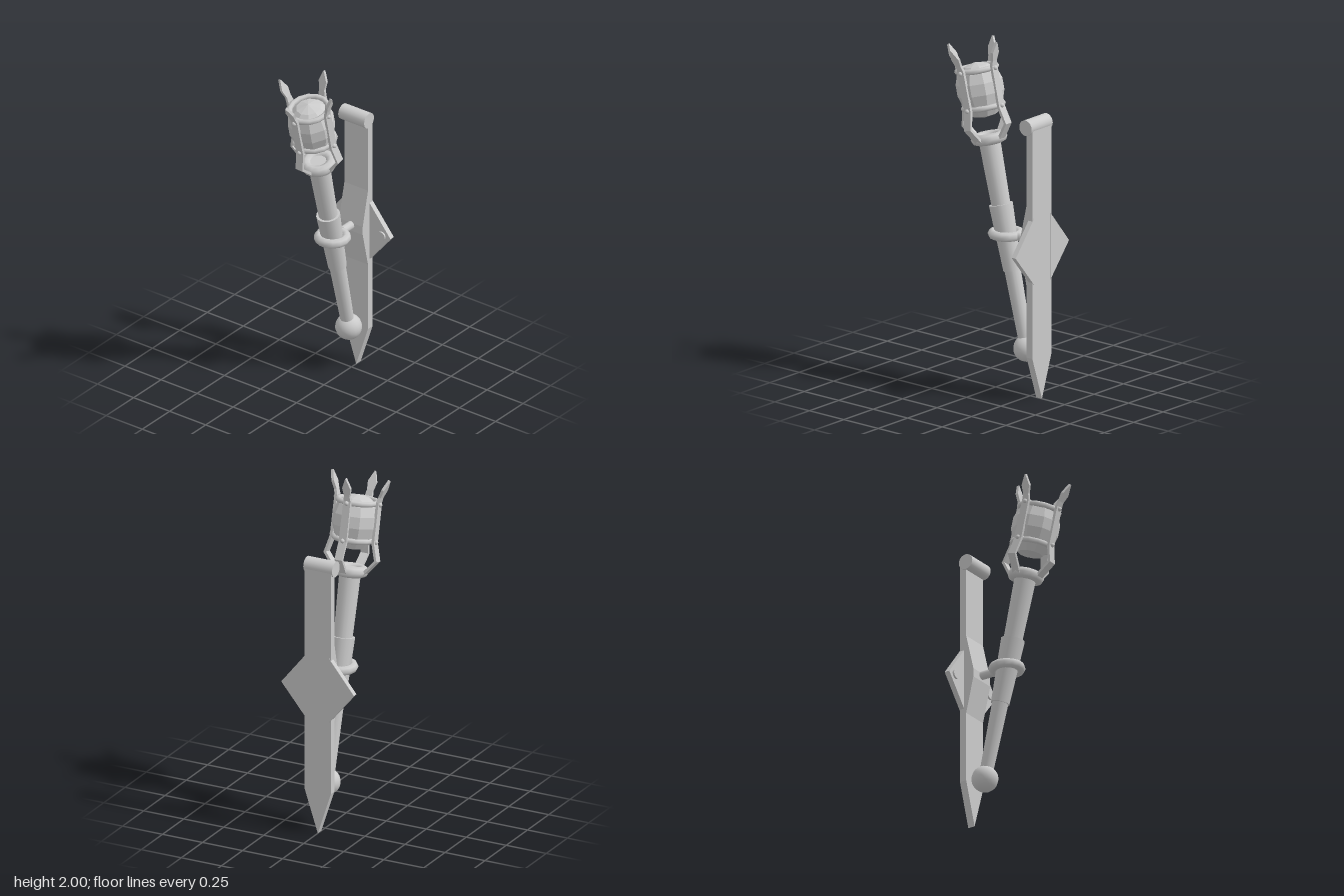
import * as THREE from 'three';

const smooth = new THREE.MeshStandardMaterial({ color: 0xcccccc });
const faceted = new THREE.MeshStandardMaterial({ color: 0xcccccc, flatShading: true });

function add(parent, name, geometry, x = 0, y = 0, z = 0, material = smooth) {
  const mesh = new THREE.Mesh(geometry, material);
  mesh.name = name;
  mesh.position.set(x, y, z);
  parent.add(mesh);
  return mesh;
}

// Flat ring lying in the horizontal plane
const ring = (radius, tube) => new THREE.TorusGeometry(radius, tube, 8, 14).rotateX(Math.PI / 2);

// Extruded outline between two depths
function slab(points, z0, z1) {
  const shape = new THREE.Shape(points.map(([x, y]) => new THREE.Vector2(x, y)));
  return new THREE.ExtrudeGeometry(shape, { depth: z1 - z0, bevelEnabled: false }).translate(0, 0, z0);
}

// Rectangular bar swept through sections [radial distance, height, half width]
function bar(sections, thickness) {
  const pos = [], index = [], n = sections.length, h = thickness / 2;
  sections.forEach(([r, y, w], i) => {
    const a = sections[Math.max(i - 1, 0)], b = sections[Math.min(i + 1, n - 1)];
    const length = Math.hypot(b[0] - a[0], b[1] - a[1]);
    const oz = (b[1] - a[1]) / length * h, oy = -(b[0] - a[0]) / length * h;
    pos.push(-w, y + oy, r + oz, w, y + oy, r + oz, w, y - oy, r - oz, -w, y - oy, r - oz);
    if (i === n - 1) return;
    for (let k = 0; k < 4; k++) {
      const p = i * 4 + k, q = i * 4 + (k + 1) % 4;
      index.push(p, q, q + 4, p, q + 4, p + 4);
    }
  });
  const e = (n - 1) * 4;
  index.push(0, 2, 1, 0, 3, 2, e, e + 1, e + 2, e, e + 2, e + 3);
  const geometry = new THREE.BufferGeometry();
  geometry.setAttribute('position', new THREE.Float32BufferAttribute(pos, 3));
  geometry.setIndex(index);
  const flat = geometry.toNonIndexed();
  flat.computeVertexNormals();
  return flat;
}

function createBracket() {
  const bracket = new THREE.Group();
  bracket.name = 'wallBracket';

  // Long pointed plate with a rolled top
  add(bracket, 'backPlate', slab(
    [[0, 0], [0.082, 0.25], [0.082, 1.58], [-0.082, 1.58], [-0.082, 0.25]], -0.335, -0.293));
  add(bracket, 'topScroll',
    new THREE.CylinderGeometry(0.045, 0.045, 0.18, 20).rotateZ(Math.PI / 2), 0, 1.578, -0.292);

  // Raised boss in the middle of the plate
  const boss = slab([[-0.3, 0.66], [-0.293, 0.66], [-0.245, 0.87], [-0.245, 0.92],
    [-0.293, 1.13], [-0.3, 1.13]], -0.082, 0.082);
  add(bracket, 'boss', boss.rotateY(-Math.PI / 2));

  // Side wings with bolts
  for (const side of [1, -1]) {
    const outline = [[side * 0.07, 0.675], [side * 0.227, 0.865], [side * 0.07, 1.06]];
    add(bracket, 'sideWing', slab(outline, -0.338, -0.307));
    add(bracket, 'bolt',
      new THREE.CylinderGeometry(0.027, 0.027, 0.02, 14).rotateX(Math.PI / 2), side * 0.167, 0.866, -0.307);
  }

  // Arm and ring that hold the torch
  add(bracket, 'arm',
    new THREE.CylinderGeometry(0.024, 0.024, 0.1, 12).rotateX(Math.PI / 2), 0, 0.905, -0.215);
  add(bracket, 'holdingRing', ring(0.077, 0.027), 0, 0.905, -0.077);
  return bracket;
}

function createTorch() {
  const torch = new THREE.Group();
  torch.name = 'torch';

  // Handle
  add(torch, 'pommel', new THREE.SphereGeometry(0.075, 18, 12));
  add(torch, 'shaft', new THREE.CylinderGeometry(0.061, 0.037, 1.2, 16), 0, 0.61, 0);
  add(torch, 'sleeve', new THREE.CylinderGeometry(0.067, 0.052, 0.375, 16), 0, 0.632, 0);
  add(torch, 'collar', ring(0.071, 0.032), 0, 1.194, 0);

  // Faceted core held in the basket
  const profile = [[0, 1.31], [0.07, 1.325], [0.112, 1.385], [0.132, 1.45], [0.132, 1.515],
    [0.113, 1.57], [0.07, 1.605], [0, 1.625]].map(([r, y]) => new THREE.Vector2(r, y));
  add(torch, 'core', new THREE.LatheGeometry(profile, 10), 0, 0, 0, faceted);

  // Basket rings
  for (const y of [1.375, 1.587]) add(torch, 'basketRing', ring(0.11, 0.016), 0, y, 0);

  // Four bent straps ending in leaf points, with rivets
  const sections = [[0.085, 1.185, 0.024], [0.158, 1.272, 0.024], [0.13, 1.37, 0.024],
    [0.13, 1.6, 0.022], [0.138, 1.63, 0.017], [0.156, 1.675, 0.026], [0.179, 1.732, 0.002]];
  for (let i = 0; i < 4; i++) {
    const strap = new THREE.Group();
    strap.name = 'basketStrap';
    strap.rotation.y = i * Math.PI / 2;
    add(strap, 'strap', bar(sections, 0.016));
    for (const y of [1.375, 1.587]) {
      add(strap, 'rivet', new THREE.SphereGeometry(0.013, 10, 8), 0, y, 0.138);
    }
    torch.add(strap);
  }

  // Lean forward away from the wall
  torch.position.set(0, 0.27, -0.224);
  torch.rotation.x = 0.2305;
  return torch;
}

export function createModel() {
  const model = new THREE.Group();
  model.name = 'wallTorch';
  model.add(createBracket(), createTorch());
  return model;
}
